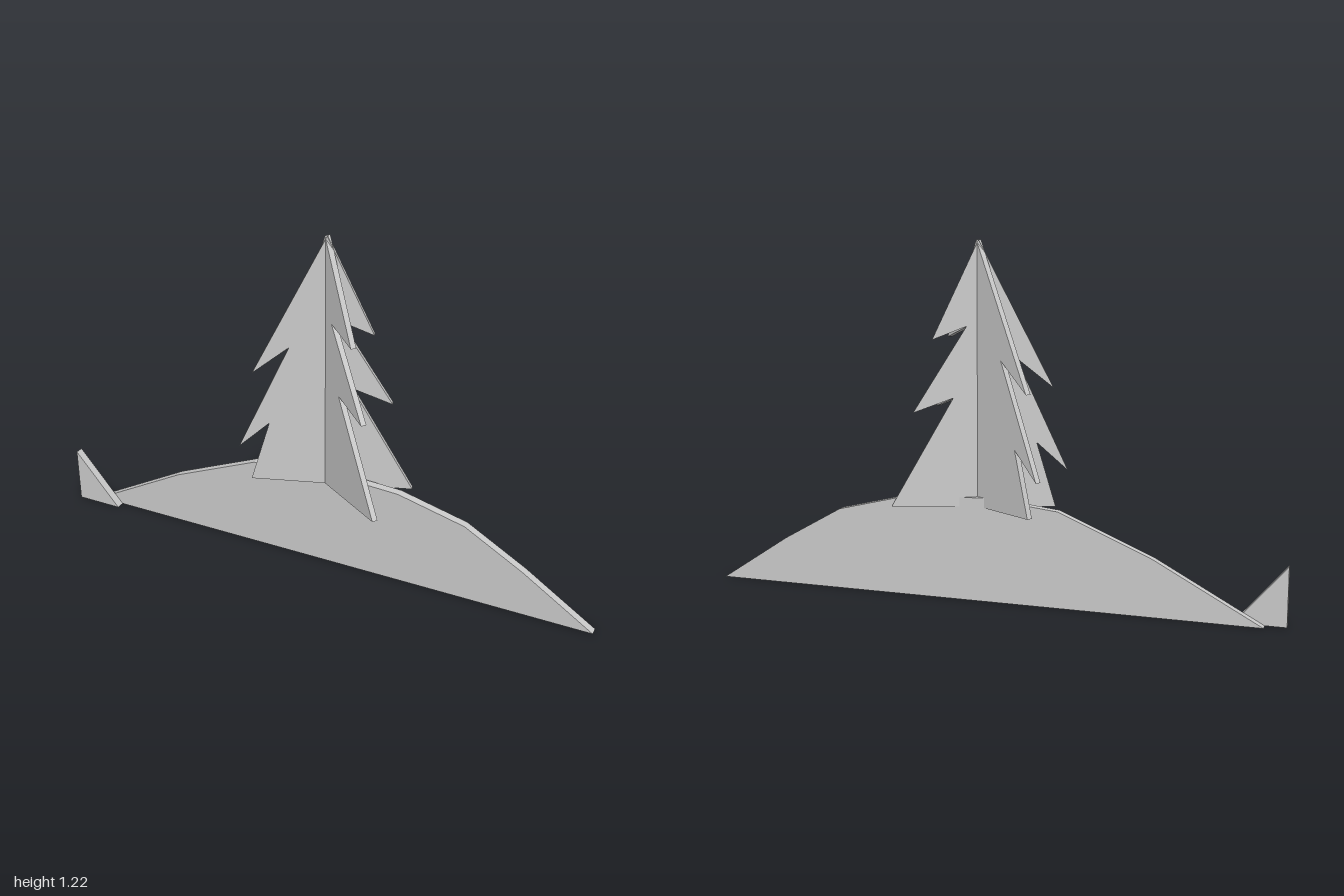
import * as THREE from 'three';

const material = new THREE.MeshStandardMaterial({ color: 0xcccccc, flatShading: true });

// Flat cut-out panel from an outline, spanning z0 to z0 + depth
function panel(name, outline, depth, z0) {
  const shape = new THREE.Shape(outline.map(([x, y]) => new THREE.Vector2(x, y)));
  const geometry = new THREE.ExtrudeGeometry(shape, { depth, bevelEnabled: false });
  geometry.translate(0, 0, z0);
  const mesh = new THREE.Mesh(geometry, material);
  mesh.name = name;
  return mesh;
}

export function createModel() {
  const model = new THREE.Group();
  model.name = 'treeOnHill';

  // Low faceted hill
  model.add(panel('hill', [
    [-0.93, 0], [1, 0], [0.75, 0.165], [0.54, 0.285], [0.3, 0.345],
    [0.01, 0.36], [-0.25, 0.33], [-0.57, 0.195],
  ], 0.03, -0.03));

  // Small slope in front of the hill's end
  model.add(panel('endSlope', [[-1, 0], [-0.83, 0], [-1, 0.2]], 0.03, 0));

  // Tree of two crossed panels, with staggered branches on each side
  const treeOutline = [
    [-0.26, 0.325], [0.295, 0.325],
    [0.085, 0.695], [0.22, 0.645], [0.04, 0.935], [0.155, 0.89],
    [0, 1.22],
    [-0.25, 0.73], [-0.125, 0.83], [-0.3, 0.45], [-0.195, 0.545],
  ];
  const tree = new THREE.Group();
  tree.name = 'tree';
  tree.position.x = 0.035;
  [-0.56, 0.32].forEach((angle, i) => {
    const blade = panel('treePanel' + (i + 1), treeOutline, 0.02, -0.01);
    blade.rotation.y = angle;
    tree.add(blade);
  });
  model.add(tree);

  return model;
}
